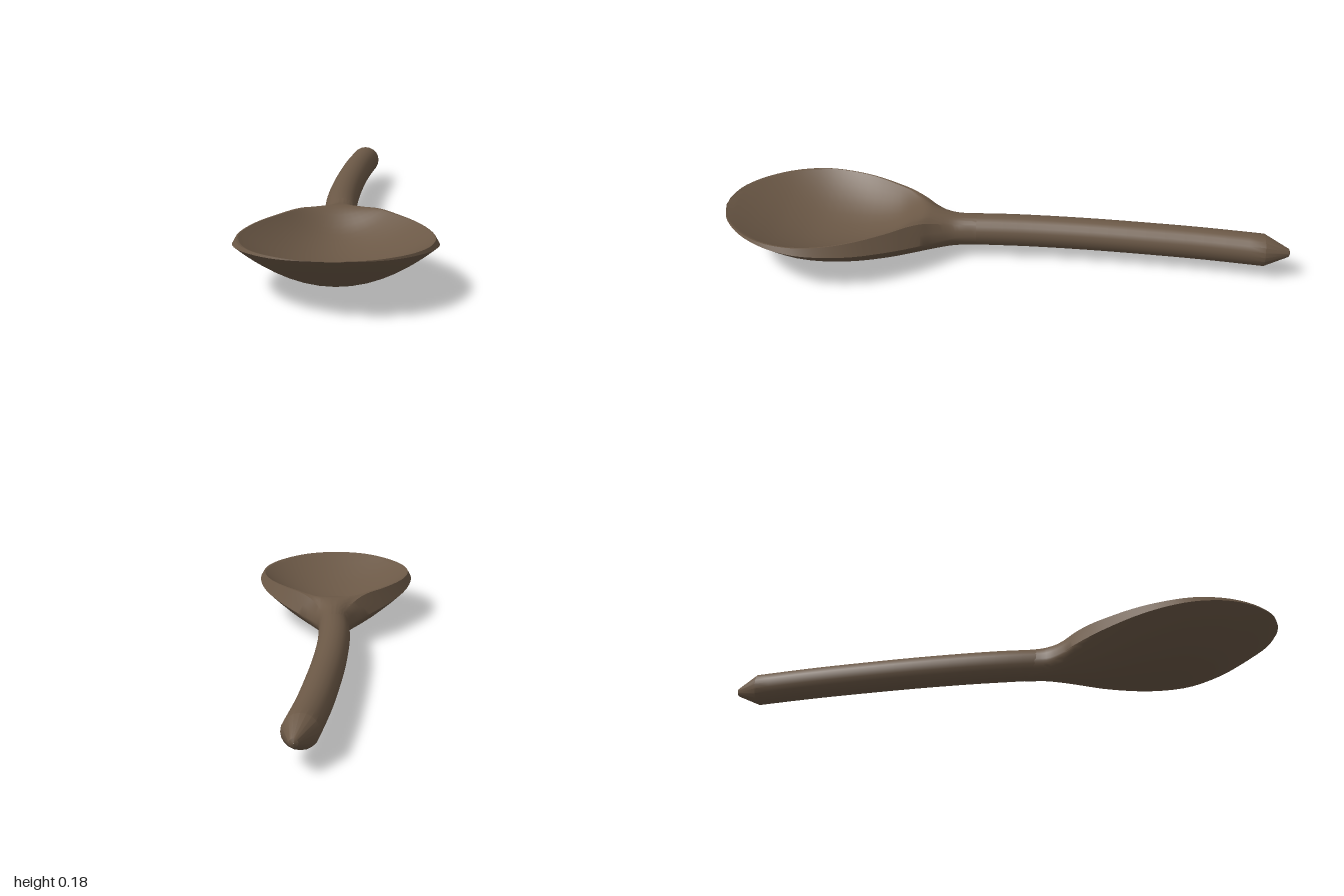
import * as THREE from 'three';
import { toCreasedNormals } from 'three/addons/utils/BufferGeometryUtils.js';

// Skin closed loops (clockwise seen from +z, ordered by rising z)
function loft(loops, crease) {
  const n = loops[0].length, index = [];
  for (let i = 0; i < loops.length - 1; i++) {
    for (let j = 0; j < n; j++) {
      const a = i * n + j, b = i * n + (j + 1) % n, c = a + n, d = b + n;
      index.push(a, c, b, b, c, d);
    }
  }
  const geo = new THREE.BufferGeometry();
  geo.setAttribute('position', new THREE.Float32BufferAttribute(loops.flat(2), 3));
  geo.setIndex(index);
  return toCreasedNormals(geo, crease);
}

// Smooth in-between rows of a station table
function refine(rows, steps) {
  const out = [], at = i => rows[Math.min(Math.max(i, 0), rows.length - 1)];
  for (let i = 0; i < rows.length - 1; i++) {
    for (let s = 0; s < steps; s++) {
      const t = s / steps;
      out.push(rows[i].map((p1, k) => {
        const p0 = at(i - 1)[k], p2 = at(i + 1)[k], p3 = at(i + 2)[k];
        return p1 + 0.5 * t * (p2 - p0 + t * (2 * p0 - 5 * p1 + 4 * p2 - p3 + t * (3 * (p1 - p2) + p3 - p0)));
      }));
    }
  }
  out.push(rows[rows.length - 1]);
  return out;
}

// Bowl stations: z, half width, edge y, underside y, rim y, cavity half width, cavity floor y, roundness
const BOWL = [
  [0.10, 0.054, 0.097, 0.040, 0.154, 0.012, 0.154, 1],
  [0.16, 0.058, 0.095, 0.039, 0.155, 0.016, 0.155, 1],
  [0.20, 0.070, 0.091, 0.036, 0.160, 0.024, 0.160, 0.85],
  [0.25, 0.103, 0.094, 0.030, 0.168, 0.042, 0.167, 0.55],
  [0.29, 0.138, 0.100, 0.024, 0.173, 0.075, 0.165, 0.25],
  [0.34, 0.176, 0.107, 0.015, 0.174, 0.125, 0.132, 0.05],
  [0.40, 0.216, 0.115, 0.007, 0.172, 0.174, 0.098, 0],
  [0.50, 0.270, 0.127, 0.001, 0.171, 0.240, 0.070, 0],
  [0.60, 0.302, 0.139, 0.002, 0.170, 0.280, 0.062, 0],
  [0.70, 0.311, 0.149, 0.016, 0.171, 0.294, 0.069, 0],
  [0.80, 0.286, 0.159, 0.052, 0.172, 0.273, 0.094, 0],
  [0.88, 0.237, 0.166, 0.096, 0.174, 0.228, 0.125, 0],
  [0.94, 0.175, 0.171, 0.135, 0.177, 0.168, 0.152, 0],
  [0.98, 0.107, 0.176, 0.164, 0.179, 0.102, 0.171, 0],
  [1.00, 0.025, 0.179, 0.178, 0.180, 0.020, 0.179, 0],
];

function bowlLoop([z, w, edge, under, rim, inner, floor, round]) {
  const pts = [], N = 20, K = 16, lerp = THREE.MathUtils.lerp;
  // underside, from +x to -x
  for (let i = 0; i <= N; i++) {
    const a = i / N * Math.PI, s = Math.sin(a);
    pts.push([w * Math.cos(a), edge - (edge - under) * lerp(s * s, s, round), z]);
  }
  // slanted rim and cavity, from -x back to +x, blending to a round neck
  const wt = Math.max(w - 0.55 * (rim - edge), inner + 0.002);
  const put = (x, y, a) => pts.push([
    lerp(x, -w * Math.cos(a), round),
    lerp(y, edge + (rim - edge) * Math.sin(a), round), z]);
  const mid = (w + wt) / 2, midY = (edge + rim) / 2, A = 0.7;
  put(-mid, midY, A / 2);
  put(-wt, rim, A);
  for (let i = 0; i <= K; i++) {
    const u = -Math.cos(i / K * Math.PI);
    put(inner * u, rim - (rim - floor) * (1 - u * u), lerp(A, Math.PI - A, (i + 1) / (K + 2)));
  }
  put(wt, rim, Math.PI - A);
  put(mid, midY, Math.PI - A / 2);
  return pts;
}

// Handle stations: z, centre x, radius
const TIP = [[-1, 0.09, 0.001], [-0.995, 0.09, 0.014]];
const HANDLE = [
  [-0.91, 0.075, 0.057], [-0.7, 0.045, 0.057], [-0.5, 0.024, 0.057],
  [-0.3, 0.007, 0.057], [-0.1, -0.003, 0.057], [0.05, -0.004, 0.057], [0.18, 0, 0.055],
];

function ringLoop([z, cx, r]) {
  return Array.from({ length: 20 }, (_, i) => {
    const a = -i / 20 * Math.PI * 2;
    return [cx + r * Math.cos(a), 0.097 + r * Math.sin(a), z];
  });
}

export function createModel() {
  const wood = new THREE.MeshStandardMaterial({ color: 0x6b5846 });
  wood.name = 'darkWood';

  const spoon = new THREE.Group();
  spoon.name = 'spoon';
  const add = (name, geo) => {
    const mesh = new THREE.Mesh(geo, wood);
    mesh.name = name;
    spoon.add(mesh);
  };

  add('bowl', loft(refine(BOWL, 3).map(bowlLoop), 0.6));
  add('handle', loft([...TIP, ...refine(HANDLE, 3)].map(ringLoop), 0.5));
  return spoon;
}
